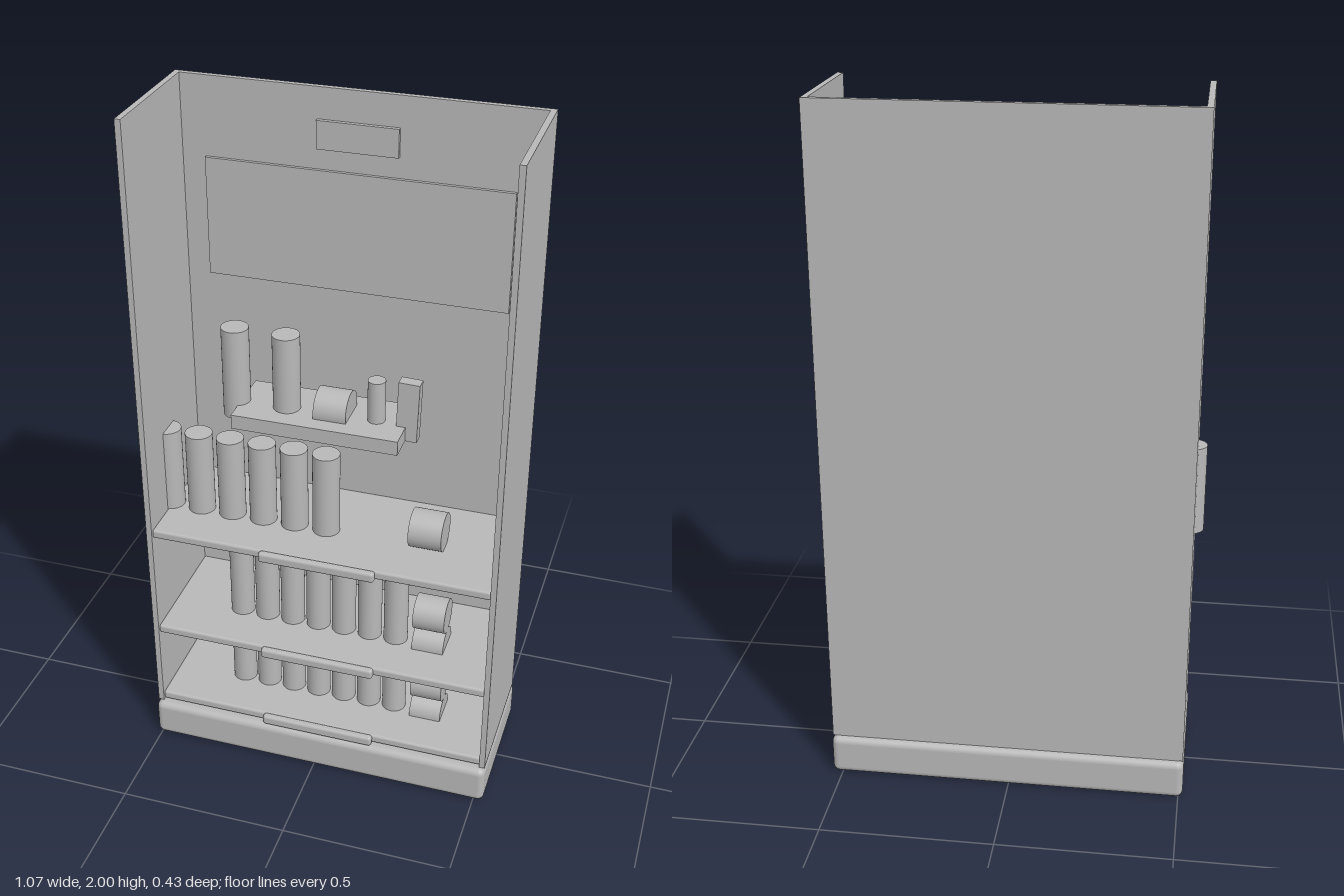
import * as THREE from 'three';
import { RoundedBoxGeometry } from 'three/addons/geometries/RoundedBoxGeometry.js';

export function createModel() {
  const group = new THREE.Group();
  const grey = new THREE.MeshStandardMaterial({ color: 0xb8b8b8 });
  grey.name = 'grey';

  const add = (name, geometry, x, y, z) => {
    const mesh = new THREE.Mesh(geometry, grey);
    mesh.name = name;
    mesh.position.set(x, y, z);
    group.add(mesh);
    return mesh;
  };
  // Box given by its limits on each axis, optionally with rounded edges
  const box = (name, [x0, x1], [y0, y1], [z0, z1], radius = 0) => {
    const size = [x1 - x0, y1 - y0, z1 - z0];
    const geometry = radius ? new RoundedBoxGeometry(...size, 4, radius) : new THREE.BoxGeometry(...size);
    return add(name, geometry, (x0 + x1) / 2, (y0 + y1) / 2, (z0 + z1) / 2);
  };
  const Z = 0.033; // depth line of the goods
  const can = (name, x, y0, y1, r, z = Z) =>
    add(name, new THREE.CylinderGeometry(r, r, y1 - y0, 32), x, (y0 + y1) / 2, z);
  const roll = (name, x0, x1, y, r, z = 0.02) => {
    const mesh = add(name, new THREE.CylinderGeometry(r, r, x1 - x0, 40), (x0 + x1) / 2, y, z);
    mesh.rotation.z = Math.PI / 2;
  };

  // Cabinet
  box('base', [-0.513, 0.53], [0, 0.118], [-0.216, 0.216], 0.02);
  box('backPanel', [-0.51, 0.527], [0.12, 2], [-0.201, -0.185]);
  box('rightSidePanel', [-0.51, -0.493], [0.12, 2], [-0.201, 0.197]);
  box('leftSidePanel', [0.51, 0.527], [0.12, 2], [-0.201, 0.197]);
  box('displayPanel', [-0.425, 0.441], [1.425, 1.772], [-0.187, -0.175]);
  box('signPlate', [-0.105, 0.123], [1.832, 1.912], [-0.187, -0.173]);

  // Shelves with front handles
  for (const top of [0.15, 0.41, 0.759]) {
    box('shelf', [-0.494, 0.511], [top - 0.028, top], [-0.187, 0.192], 0.008);
    box('shelfHandle', [-0.163, 0.18], [top - 0.03, top + 0.002], [0.188, 0.211], 0.009);
  }

  // Top shelf goods; the first can reaches through the side panel
  for (let i = 0; i < 6; i++) can('tallCan', -0.495 + i * 0.0964, 0.757, 1.017, 0.04);
  roll('roll', 0.241, 0.338, 0.812, 0.057);

  // Goods on the two lower shelves
  for (const top of [0.15, 0.41]) {
    for (let i = 0; i < 7; i++) can('can', -0.28 + i * 0.0805, top - 0.002, top + 0.235, 0.036);
    roll('lowerRoll', 0.262, 0.357, top + 0.002, 0.053);
    roll('upperRoll', 0.262, 0.357, top + 0.106, 0.053);
  }

  // Display tray and its samples
  box('tray', [-0.261, 0.217], [1.107, 1.15], [-0.082, 0.123]);
  can('sampleCan', -0.275, 1.107, 1.378, 0.039);
  can('sampleCan', -0.127, 1.107, 1.378, 0.039);
  roll('sampleRoll', -0.038, 0.056, 1.163, 0.057);
  can('smallSampleCan', 0.13, 1.12, 1.275, 0.025, 0.026);
  box('sampleBox', [0.192, 0.252], [1.107, 1.286], [0.008, 0.043]).rotation.z = -0.03;

  return group;
}
